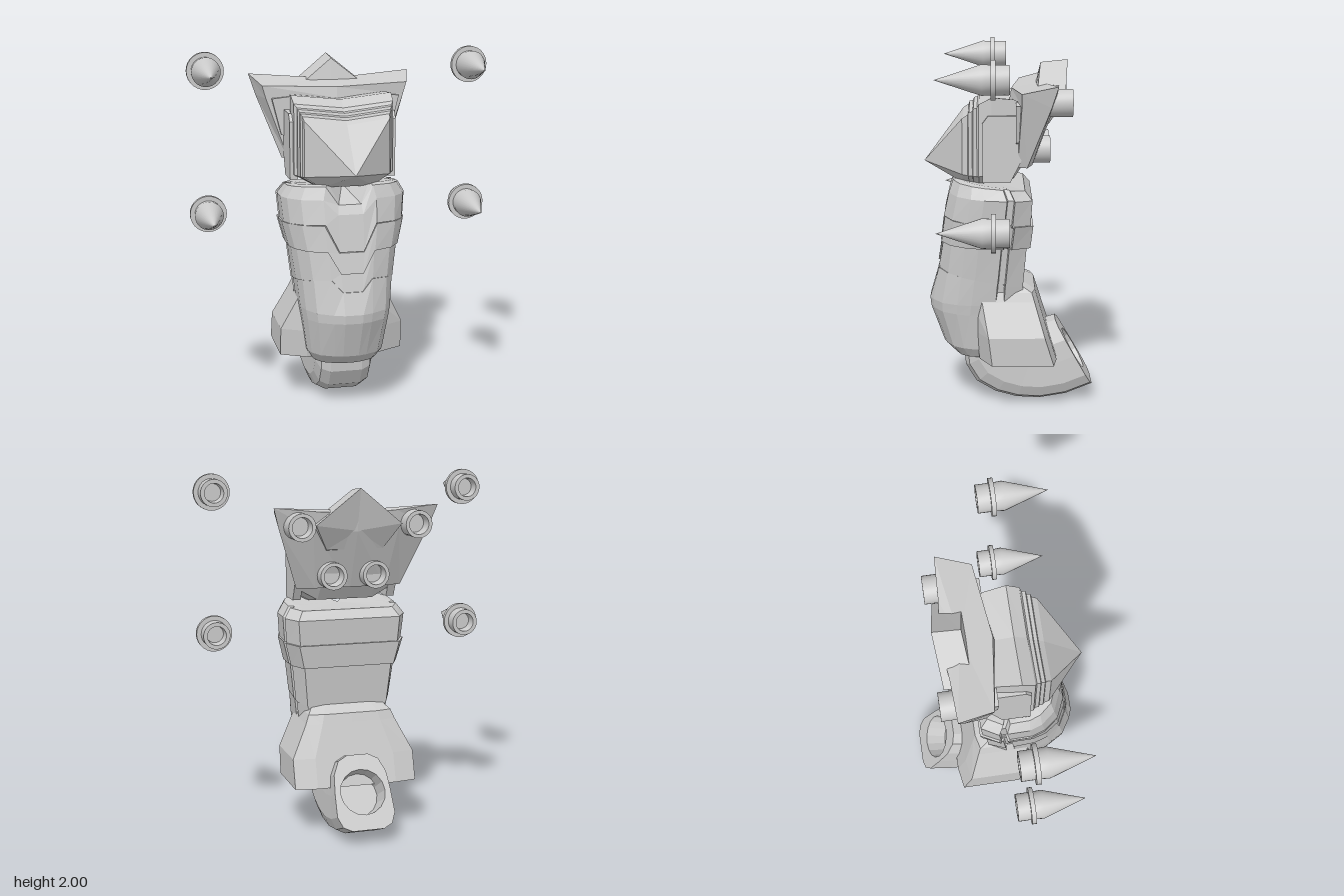
import * as THREE from 'three';
import { toCreasedNormals } from 'three/addons/utils/BufferGeometryUtils.js';

const flat = new THREE.MeshStandardMaterial({ color: 0xcccccc, flatShading: true, side: THREE.DoubleSide });
const smooth = new THREE.MeshStandardMaterial({ color: 0xcccccc });

// Complete a right-hand half outline by mirroring it across x = 0
const mirror = (half) => [
  ...half,
  ...half.filter((p) => p[0] > 1e-6).reverse().map(([x, y, z]) => [-x, y, z]),
];

// Skin a list of equal-length loops and close both ends (the end may run to an apex)
function loft(name, loops, apex) {
  const tris = [];
  const n = loops[0].length;
  const centre = (l) => [0, 1, 2].map((k) => l.reduce((s, p) => s + p[k], 0) / n);
  const last = loops[loops.length - 1];
  const c0 = centre(loops[0]);
  const c1 = apex || centre(last);
  for (let j = 0; j < n; j++) {
    const k = (j + 1) % n;
    for (let i = 0; i < loops.length - 1; i++) {
      const [a, b, c, d] = [loops[i][j], loops[i][k], loops[i + 1][k], loops[i + 1][j]];
      tris.push([a, b, c], [a, c, d]);
    }
    tris.push([c0, loops[0][k], loops[0][j]], [c1, last[j], last[k]]);
  }
  // Turn the faces outward if the enclosed volume comes out negative
  const v = (p) => new THREE.Vector3(...p);
  const volume = tris.reduce((s, [a, b, c]) => s + v(a).dot(v(b).cross(v(c))), 0);
  if (volume < 0) tris.forEach((t) => t.reverse());
  const geo = new THREE.BufferGeometry();
  geo.setAttribute('position', new THREE.Float32BufferAttribute(tris.flat(2), 3));
  geo.computeVertexNormals();
  const mesh = new THREE.Mesh(geo, flat);
  mesh.name = name;
  return mesh;
}

// Turned part whose axis runs along z
function turned(name, profile, x, y, z) {
  const geo = new THREE.LatheGeometry(profile.map(([r, h]) => new THREE.Vector2(r, h)), 28);
  geo.rotateX(Math.PI / 2);
  const mesh = new THREE.Mesh(toCreasedNormals(geo, 0.6), smooth);
  mesh.name = name;
  mesh.position.set(x, y, z);
  return mesh;
}

// Torso section: flat back, slotted sides, round front with a dipped centre
function torsoLoop([w, zb, zf, yB, yF, dip = 0]) {
  const d = zf - zb;
  const outline = [
    [0, zb], [0.84 * w, zb], [w, zb + 0.2 * d], [0.9 * w, zb + 0.21 * d],
    [0.9 * w, zb + 0.28 * d], [w, zb + 0.29 * d], [w, zb + 0.55 * d],
    [0.93 * w, zb + 0.7 * d], [0.75 * w, zb + 0.86 * d],
    [0.42 * w, zb + 0.96 * d], [0.2 * w, zf], [0, zf],
  ];
  return mirror(outline.map(([x, z]) => {
    const front = x < 0.3 * w && z > zb + 0.5 * d;
    return [x, yB + (yF - yB) * (z - zb) / d - (front ? dip : 0), z];
  }));
}

export function createModel() {
  const model = new THREE.Group();
  const body = new THREE.Group();
  body.name = 'body';
  body.position.x = 0.008;
  model.add(body);

  // Layered torso: collar, two bands and the rounded lower shell
  const layers = {
    collar: [[0.27, -0.06, 0.3, 1.25, 1.3, 0.1], [0.31, -0.08, 0.33, 1.25, 1.29, 0.1],
      [0.348, -0.12, 0.355, 1.2, 1.22, 0.08], [0.335, -0.11, 0.385, 1.05, 1.09, 0.15]],
    upperBand: [[0.345, -0.125, 0.38, 1.06, 1.085, 0.15], [0.31, -0.11, 0.4, 0.93, 0.94, 0.12]],
    lowerBand: [[0.3, -0.09, 0.39, 0.93, 0.94, 0.12], [0.275, -0.07, 0.41, 0.7, 0.79, 0.07]],
    lowerShell: [[0.27, -0.07, 0.415, 0.7, 0.79, 0.07], [0.255, -0.07, 0.45, 0.6, 0.6],
      [0.245, -0.05, 0.445, 0.53, 0.55], [0.215, 0, 0.37, 0.33, 0.34], [0.18, 0.05, 0.31, 0.28, 0.28]],
  };
  for (const [name, loops] of Object.entries(layers)) body.add(loft(name, loops.map(torsoLoop)));

  // Head: sections from back to front with stepped ridges, ending in the pointed face
  const headSections = [ // z, half width, bottom, top
    [-0.1, 0.25, 1.42, 1.7], [-0.02, 0.265, 1.3, 1.745], [0.1, 0.28, 1.28, 1.757],
    [0.17, 0.275, 1.27, 1.72], [0.18, 0.26, 1.27, 1.7], [0.2, 0.26, 1.27, 1.695],
    [0.205, 0.25, 1.27, 1.68], [0.225, 0.25, 1.27, 1.675], [0.23, 0.24, 1.27, 1.66],
    [0.26, 0.235, 1.275, 1.64],
  ];
  body.add(loft('head', headSections.map(([z, w, lo, hi]) => mirror([
    [0, lo, z], [0.6 * w, lo, z], [w, lo + 0.06, z], [w, hi, z], [0, hi - 0.03, z],
  ])), [0, 1.375, 0.475]));

  // Cheek plates on both sides of the head
  for (const s of [1, -1]) {
    const plate = [[1.3, 0.15], [1.62, 0.15], [1.66, 0.12], [1.66, -0.03], [1.42, -0.06], [1.3, 0]];
    body.add(loft('cheekPlate', [0.25, 0.295].map((x) => plate.map(([y, z]) => [s * x, y, z]))));
  }

  // Winged crest behind the head
  body.add(loft('wingedCrest', [
    mirror([[0, 1.78, -0.01], [0.41, 1.79, -0.06], [0.46, 1.835, -0.25], [0.22, 1.81, -0.26], [0, 1.8, -0.28]]),
    mirror([[0, 1.72, 0], [0.39, 1.72, -0.06], [0.425, 1.72, -0.215], [0.24, 1.71, -0.24], [0, 1.7, -0.26]]),
    mirror([[0, 1.38, -0.02], [0.27, 1.38, -0.04], [0.3, 1.38, -0.09], [0.2, 1.38, -0.12], [0, 1.38, -0.12]]),
  ]));
  // Angled trim on the front of each wing
  for (const s of [1, -1]) {
    const trim = [[0.26, 1.73], [0.36, 1.72], [0.31, 1.52], [0.27, 1.5]];
    body.add(loft('wingTrim', [-0.1, -0.03].map((z) => trim.map(([x, y]) => [s * x, y, z]))));
  }

  // Peaked back fin
  body.add(loft('backFin', [
    mirror([[0, 1.92, -0.17], [0.24, 1.73, -0.14], [0.15, 1.56, -0.1], [0, 1.56, -0.1]]),
    mirror([[0, 1.935, -0.32], [0.24, 1.74, -0.295], [0.16, 1.6, -0.21], [0, 1.6, -0.21]]),
  ]));

  // Thruster nozzles, hollow at the rear
  const nozzle = [[0, 0.07], [0.05, 0.07], [0.055, 0], [0.075, 0], [0.075, 0.15], [0, 0.15]];
  for (const s of [1, -1]) {
    body.add(turned('upperNozzle', nozzle, s * 0.325, 1.735, -0.33));
    body.add(turned('lowerNozzle', nozzle, s * 0.12, 1.455, -0.22));
  }

  // Flared hip housing, hollow underneath
  const hip = [ // y, half width, front z, back z
    [0.71, 0.2, 0.1, -0.07], [0.67, 0.24, 0.16, -0.14], [0.62, 0.26, 0.155, -0.155],
    [0.44, 0.35, 0.12, -0.21], [0.28, 0.35, 0.1, -0.26], [0.28, 0.31, 0.07, -0.22], [0.42, 0.29, 0.07, -0.17],
  ];
  body.add(loft('hipHousing', hip.map(([y, w, zf, zb], i) => mirror([
    [0, y, zf + 0.05], [0.6 * w, y, zf + (i > 4 ? 0 : 0.07)], [w, y, zf], [w, y, zb + 0.02], [0.65 * w, y, zb], [0, y, zb],
  ]))));

  // Curved exhaust foot: sections fan round from the hip to the rear opening
  const foot = [ // outer z, y then inner z, y
    [0.26, 0.33, -0.1, 0.47], [0.25, 0.21, -0.12, 0.46], [0.19, 0.11, -0.14, 0.455], [0.08, 0.045, -0.16, 0.45],
    [-0.04, 0.012, -0.18, 0.445], [-0.17, 0.005, -0.2, 0.44], [-0.32, 0.03, -0.23, 0.45], [-0.47, 0.09, -0.26, 0.46],
  ];
  const girth = [[0, 0], [0.09, 0], [0.14, 0.06], [0.165, 0.2], [0.16, 0.5], [0.15, 0.75], [0.115, 0.93], [0.06, 1], [0, 1]];
  const footLoops = foot.map(([oz, oy, iz, iy]) => mirror(
    girth.map(([x, t]) => [x, oy + (iy - oy) * t, oz + (iz - oz) * t])));
  // Round opening sunk into the rear face
  for (const [r, depth] of [[0.128, 0], [0.115, 0.12]]) {
    footLoops.push(mirror(girth.map((_, i) => {
      const a = (i / 8) * Math.PI;
      const u = -Math.cos(a) * r;
      return [i % 8 ? Math.sin(a) * r : 0, 0.275 + 0.87 * u - 0.49 * depth, -0.365 + 0.49 * u + 0.87 * depth];
    })));
  }
  body.add(loft('exhaustFoot', footLoops));

  // Four free-floating darts with flanged, hollow tails
  const dart = [[0, 0.07], [0.048, 0.07], [0.053, 0.01], [0.075, 0.01], [0.075, 0.08], [0.1, 0.08],
    [0.1, 0.105], [0.075, 0.105], [0.078, 0.15], [0, 0.388]];
  for (const x of [-0.731, 0.731])
    for (const y of [1.12, 1.9]) model.add(turned('dart', dart, x, y, 0));

  return model;
}
